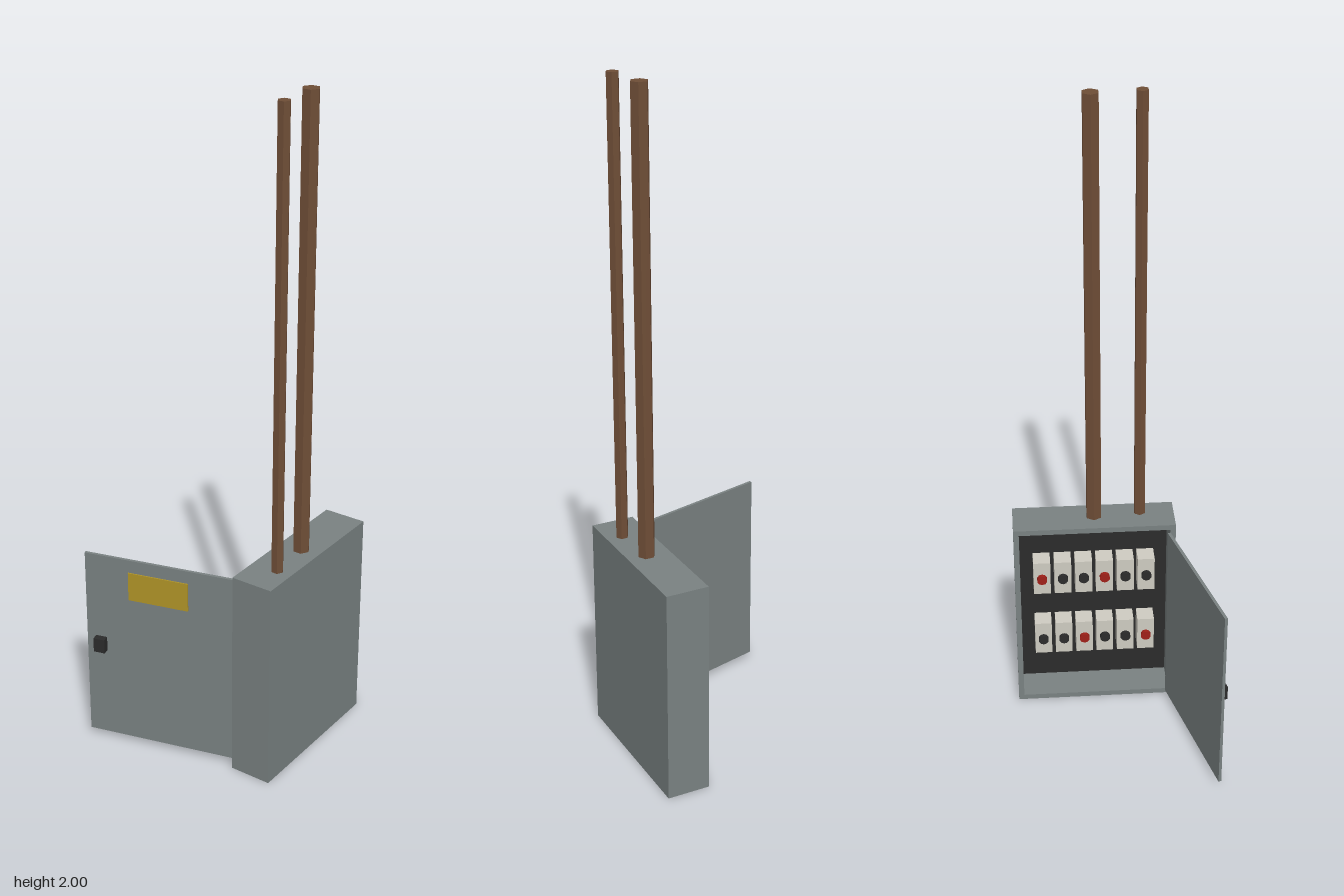
import * as THREE from 'three';

const mat = (name, color) => {
  const m = new THREE.MeshStandardMaterial({ color });
  m.name = name;
  return m;
};

export function createModel() {
  const steel = mat('grey steel', 0x7a8282);
  const dark = mat('dark board', 0x2b2b2b);
  const copper = mat('brown conduit', 0x6f4e37);
  const cream = mat('pale plastic', 0xcfccc2);
  const red = mat('red switch', 0xa02018);
  const yellow = mat('yellow label', 0xb09428);

  const model = new THREE.Group();
  model.name = 'electricalCabinet';

  const box = (parent, name, m, [w, h, d], [x, y, z]) => {
    const mesh = new THREE.Mesh(new THREE.BoxGeometry(w, h, d), m);
    mesh.name = name;
    mesh.position.set(x, y, z);
    parent.add(mesh);
    return mesh;
  };

  // Open cabinet: a hollow frame closed by a panel on the +z side
  const x0 = -0.191, x1 = 0.304, z0 = 0.162, z1 = 0.291, H = 0.65, t = 0.017;
  const cx = (x0 + x1) / 2;
  const outline = new THREE.Shape();
  outline.moveTo(x0, 0).lineTo(x1, 0).lineTo(x1, H).lineTo(x0, H).closePath();
  const opening = new THREE.Path();
  opening.moveTo(x0 + t, t).lineTo(x0 + t, H - t).lineTo(x1 - t, H - t).lineTo(x1 - t, t).closePath();
  outline.holes.push(opening);
  const frame = new THREE.Mesh(
    new THREE.ExtrudeGeometry(outline, { depth: z1 - z0, bevelEnabled: false }), steel);
  frame.name = 'cabinetFrame';
  frame.position.z = z0;
  model.add(frame);
  box(model, 'cabinetPanel', steel, [x1 - x0 - 2 * t, H - 2 * t, 0.012], [cx, H / 2, z1 - 0.006]);
  box(model, 'mountingBoard', dark, [x1 - x0 - 2 * t, H - 2 * t, 0.01], [cx, H / 2, z1 - 0.017]);

  // Two rows of six breakers, every third switch red
  const knob = new THREE.CylinderGeometry(0.016, 0.016, 0.014, 10).rotateX(Math.PI / 2);
  [0.437, 0.205].forEach((y, row) => {
    for (let i = 0; i < 6; i++) {
      const breaker = new THREE.Group();
      breaker.name = 'breaker';
      breaker.position.set(cx + (2.5 - i) * 0.065, y, 0);
      box(breaker, 'breakerBody', cream, [0.053, 0.115, 0.06], [0, 0, 0.24]);
      const sw = new THREE.Mesh(knob, (i + row) % 3 === 0 ? red : dark);
      sw.name = 'breakerSwitch';
      sw.position.z = 0.205;
      breaker.add(sw);
      model.add(breaker);
    }
  });

  // Hexagonal conduits rising from the roof
  for (const [name, x, z, r] of [['largeConduit', 0.055, 0.232, 0.0255], ['smallConduit', -0.086, 0.243, 0.0185]]) {
    const g = new THREE.CylinderGeometry(r, r, 2 - H, 6).toNonIndexed();
    g.computeVertexNormals();
    const pipe = new THREE.Mesh(g, copper);
    pipe.name = name;
    pipe.position.set(x, (2 + H) / 2, z);
    model.add(pipe);
  }

  // Swung-open door; local +x runs along it, local -z is its outer face
  const door = new THREE.Group();
  door.name = 'door';
  door.position.set(-0.1695, 0, 0.15);
  door.rotation.y = THREE.MathUtils.degToRad(105);
  box(door, 'doorPanel', steel, [0.457, 0.61, 0.009], [0.2285, 0.325, 0]);
  box(door, 'warningLabel', yellow, [0.185, 0.09, 0.004], [0.228, 0.545, -0.0065]);
  box(door, 'doorHandle', dark, [0.035, 0.045, 0.021], [0.412, 0.333, -0.015]);
  model.add(door);

  return model;
}
